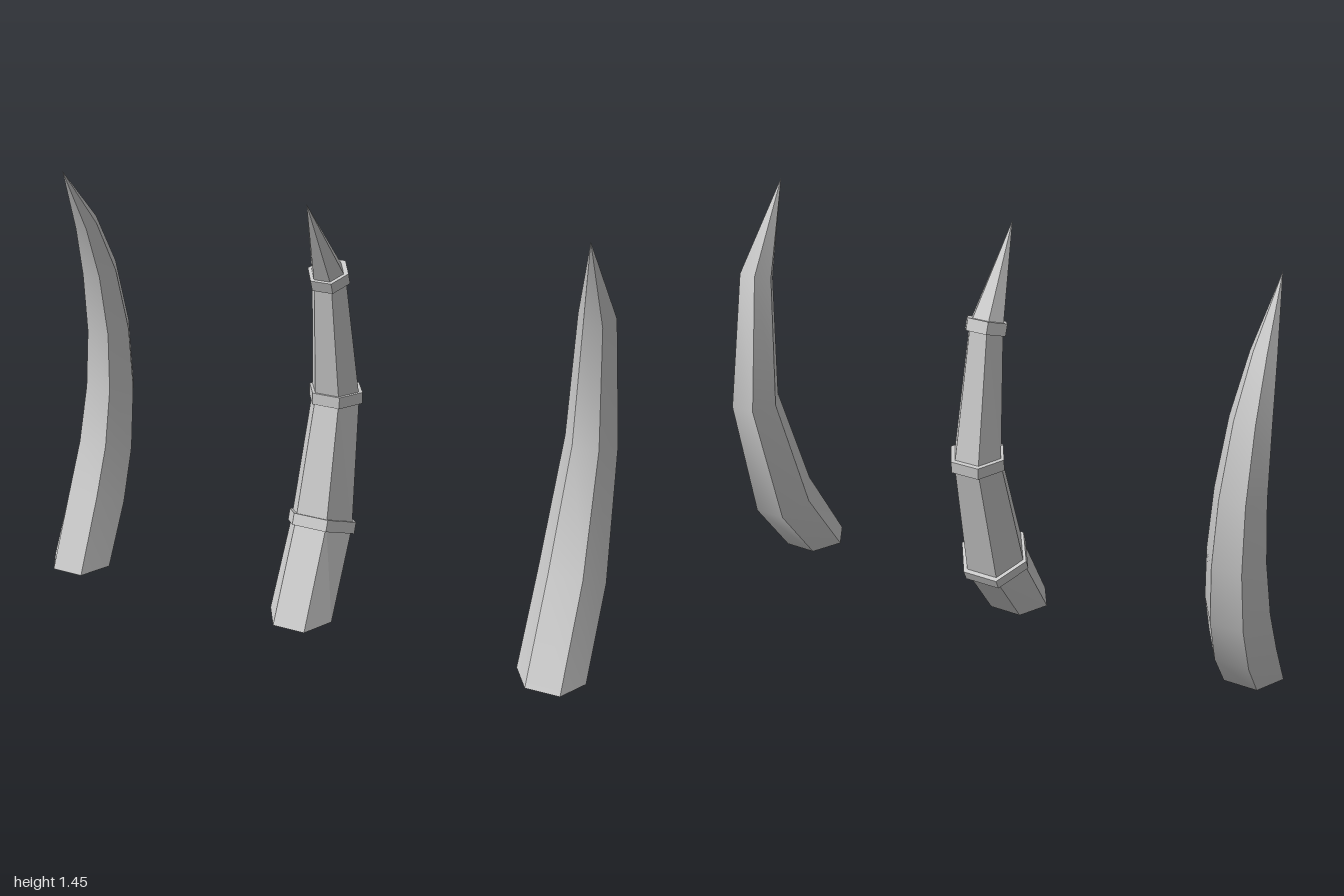
import * as THREE from 'three';
import { toCreasedNormals } from 'three/addons/utils/BufferGeometryUtils.js';

const SIDES = 6;

// Unit direction pointing to the inner (front) side of a path at station i, as [y, z]
function frontDir(path, i) {
  if (i === 0) return [0, 1];
  const unit = (a, b) => {
    const l = Math.hypot(b[0] - a[0], b[1] - a[1]);
    return [(b[0] - a[0]) / l, (b[1] - a[1]) / l];
  };
  const p = unit(path[i - 1], path[i]);
  const n = i < path.length - 1 ? unit(path[i], path[i + 1]) : p;
  const dz = p[0] + n[0], dy = p[1] + n[1], l = Math.hypot(dz, dy);
  return [-dz / l, dy / l];
}

// Hexagonal ring, corners at +x and -x, tilted by its front direction
function hexRing([z, y, r], [uy, uz], x = 0) {
  return Array.from({ length: SIDES }, (_, k) => {
    const a = (k / SIDES) * Math.PI * 2, s = r * Math.sin(a);
    return new THREE.Vector3(x + r * Math.cos(a), y + s * uy, z + s * uz);
  });
}

// Skin rings from bottom to top, with both ends closed
function loft(rings) {
  const pos = [];
  const tri = (a, b, c) => {
    const area = b.clone().sub(a).cross(c.clone().sub(a)).length();
    if (area > 1e-9) for (const v of [a, b, c]) pos.push(v.x, v.y, v.z);
  };
  for (let i = 0; i < rings.length - 1; i++) {
    const lo = rings[i], hi = rings[i + 1];
    for (let k = 0; k < SIDES; k++) {
      const n = (k + 1) % SIDES;
      tri(lo[k], hi[k], hi[n]);
      tri(lo[k], hi[n], lo[n]);
    }
  }
  const top = rings[rings.length - 1];
  for (let k = 1; k < SIDES - 1; k++) {
    tri(rings[0][0], rings[0][k], rings[0][k + 1]);
    tri(top[0], top[k + 1], top[k]);
  }
  const g = new THREE.BufferGeometry();
  g.setAttribute('position', new THREE.Float32BufferAttribute(pos, 3));
  g.computeVertexNormals();
  return g;
}

// Tusk stations: [z, y, radius]
const COARSE = [
  [0.135, 0, 0.115], [-0.042, 0.277, 0.113], [-0.158, 0.713, 0.086],
  [-0.096, 1.155, 0.06], [0.085, 1.445, 0],
];
const FINE = [
  [0.125, 0, 0.115], [0.0, 0.205, 0.115], [-0.084, 0.385, 0.108], [-0.138, 0.6, 0.096],
  [-0.15, 0.82, 0.083], [-0.115, 1.05, 0.066], [-0.05, 1.235, 0.042], [0.075, 1.445, 0],
];

function tuskGeometry(path) {
  return loft(path.map((s, i) =>
    hexRing(s, frontDir(path, i), i === path.length - 1 ? 0.004 : 0)));
}

// Raised collar around station i
function bandGeometry(path, i) {
  const [z, y, r] = path[i], [uy, uz] = frontDir(path, i), h = 0.02;
  return loft([-h, h].map((o) =>
    hexRing([z - uy * o, y + uz * o, r + 0.012], [uy, uz])));
}

export function createModel() {
  const group = new THREE.Group();
  const smooth = new THREE.MeshStandardMaterial({ color: 0xcccccc });
  const flat = new THREE.MeshStandardMaterial({ color: 0xcccccc, flatShading: true });
  const add = (parent, name, geometry, material, x = 0) => {
    const mesh = new THREE.Mesh(geometry, material);
    mesh.name = name;
    mesh.position.x = x;
    parent.add(mesh);
  };

  // Plain tusks: smooth along the length, sharp between the six sides
  const crease = THREE.MathUtils.degToRad(40);
  add(group, 'leftTusk', toCreasedNormals(tuskGeometry(COARSE), crease), smooth, 0.885);
  add(group, 'rightTusk', toCreasedNormals(tuskGeometry(FINE), crease), smooth, -0.885);

  // Banded tusk in the middle
  const banded = new THREE.Group();
  banded.name = 'bandedTusk';
  add(banded, 'tuskBody', tuskGeometry(COARSE), flat);
  ['lowerBand', 'middleBand', 'upperBand'].forEach((name, i) =>
    add(banded, name, bandGeometry(COARSE, i + 1), flat));
  group.add(banded);

  return group;
}
